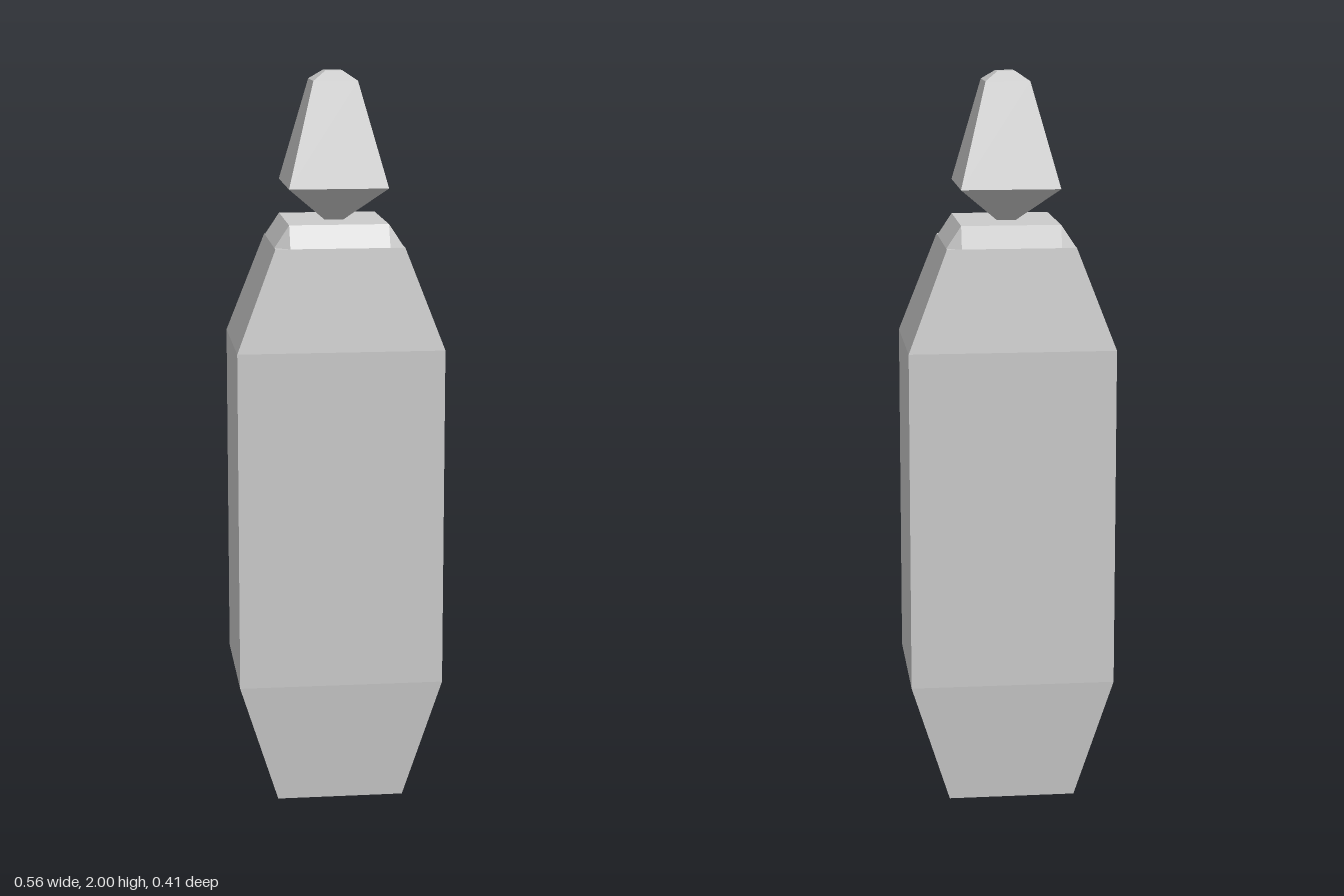
import * as THREE from 'three';
import { ConvexGeometry } from 'three/addons/geometries/ConvexGeometry.js';

// Closed loft through rectangular rings [y, halfWidth, zBack, zFront], bottom to top
function loftRects(rings) {
  const corners = rings.map(([y, x, b, f]) => [[-x, y, f], [x, y, f], [x, y, b], [-x, y, b]]);
  const pos = [];
  const quad = (a, b, c, d) => pos.push(...a, ...b, ...c, ...a, ...c, ...d);
  for (let r = 0; r < corners.length - 1; r++) {
    for (let i = 0; i < 4; i++) {
      const j = (i + 1) % 4;
      quad(corners[r][i], corners[r][j], corners[r + 1][j], corners[r + 1][i]);
    }
  }
  const [b0, b1, b2, b3] = corners[0];
  quad(b3, b2, b1, b0);
  quad(...corners[corners.length - 1]);
  const geo = new THREE.BufferGeometry();
  geo.setAttribute('position', new THREE.Float32BufferAttribute(pos, 3));
  geo.computeVertexNormals();
  return geo;
}

export function createModel() {
  const group = new THREE.Group();
  const grey = new THREE.MeshStandardMaterial({ color: 0xcccccc, flatShading: true });
  grey.name = 'light grey';
  const add = (name, geo) => {
    const mesh = new THREE.Mesh(geo, grey);
    mesh.name = name;
    group.add(mesh);
  };

  // Tall body, tapered at both ends
  add('body', loftRects([
    [0, 0.174, -0.176, 0.174],
    [0.335, 0.28, -0.207, 0.205],
    [1.265, 0.28, -0.207, 0.205],
    [1.54, 0.174, -0.176, 0.174],
  ]));

  // Bevelled shoulder plate with cut corners
  const top = { y: 1.6, x: 0.134, b: -0.156, f: 0.142 };
  const low = { y: 1.54, x: 0.174, b: -0.176, f: 0.174 };
  const points = [];
  for (const s of [-1, 1]) {
    for (const side of ['b', 'f']) {
      points.push(
        new THREE.Vector3(s * top.x, top.y, top[side]),
        new THREE.Vector3(s * low.x, low.y, top[side]),
        new THREE.Vector3(s * top.x, low.y, low[side]),
      );
    }
  }
  add('shoulder', new ConvexGeometry(points));

  // Stopper: inverted pyramid neck, tall sloped head and a small cap
  add('stopper', loftRects([
    [1.6, 0.026, -0.034, 0.021],
    [1.695, 0.134, -0.156, 0.142],
    [1.975, 0.06, -0.073, 0.06],
    [2.0, 0.024, -0.034, 0.021],
  ]));

  return group;
}
